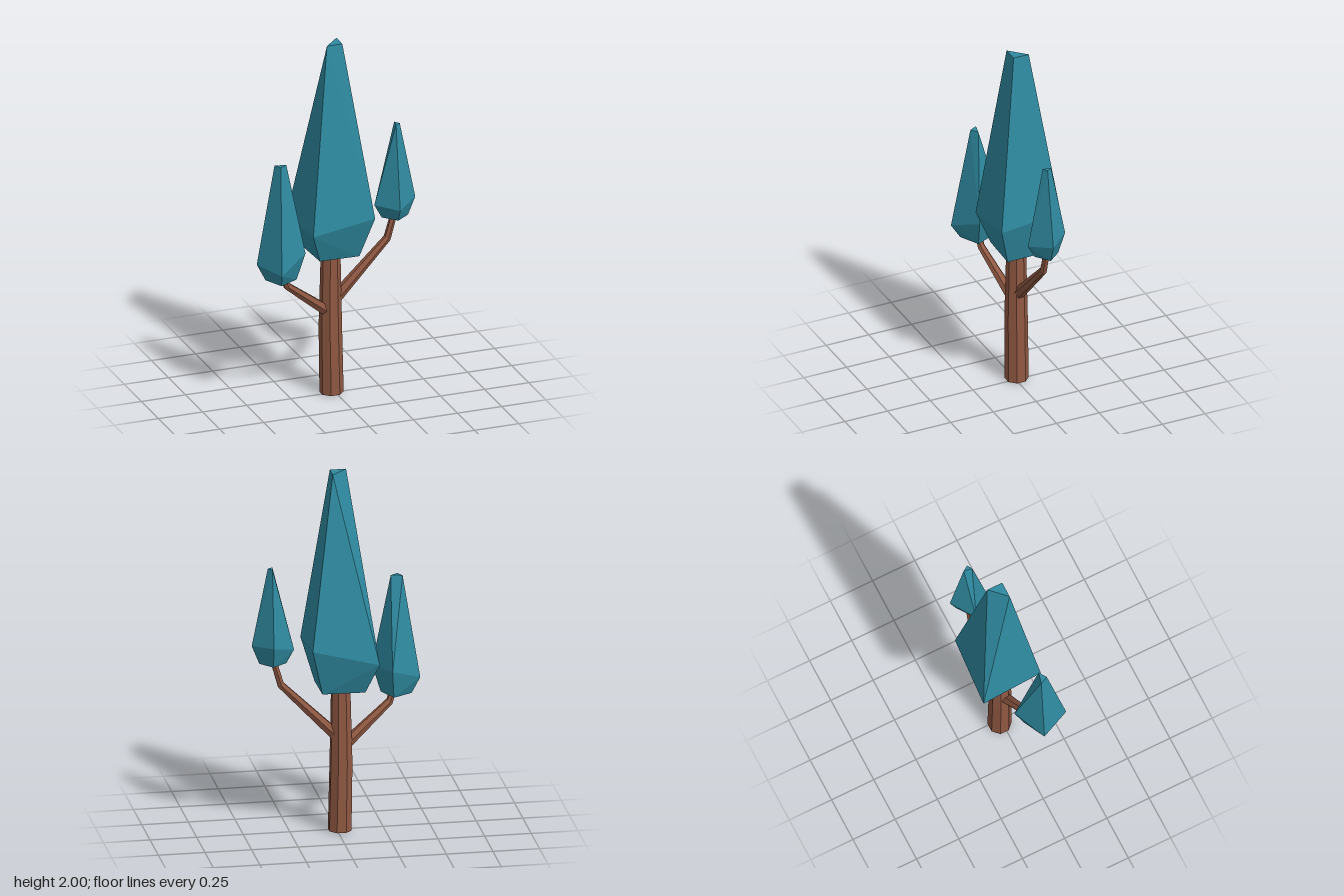
import * as THREE from 'three';
import { ConvexGeometry } from 'three/addons/geometries/ConvexGeometry.js';

// Faceted tapering limb through points [x, y, z, radius]
function limbGeometry(path, sides) {
  const centres = path.map(([x, y, z]) => new THREE.Vector3(x, y, z));
  const rings = path.map((p, i) => {
    const before = centres[Math.max(i - 1, 0)];
    const after = centres[Math.min(i + 1, path.length - 1)];
    const t = after.clone().sub(before).normalize();
    const u = t.clone().cross(new THREE.Vector3(0, 0, 1)).normalize();
    const v = u.clone().cross(t);
    return Array.from({ length: sides }, (_, j) => {
      const a = ((j + 0.5) / sides) * Math.PI * 2;
      return centres[i].clone()
        .addScaledVector(u, Math.cos(a) * p[3])
        .addScaledVector(v, Math.sin(a) * p[3]);
    });
  });
  const points = [];
  const last = rings.length - 1;
  for (let j = 0; j < sides; j++) {
    const k = (j + 1) % sides;
    for (let i = 0; i < last; i++) {
      const [a, b, c, d] = [rings[i][j], rings[i][k], rings[i + 1][j], rings[i + 1][k]];
      points.push(a, c, b, b, c, d);
    }
    // End caps
    points.push(centres[0], rings[0][j], rings[0][k]);
    points.push(centres[last], rings[last][k], rings[last][j]);
  }
  const geometry = new THREE.BufferGeometry().setFromPoints(points);
  geometry.computeVertexNormals();
  return geometry;
}

// Crown: small square base, wide tilted square ring, three-cornered flat top
function crownGeometry({ baseY, ring, topY, top }) {
  const cx = ring.reduce((s, p) => s + p[0], 0) / 4;
  const cz = ring.reduce((s, p) => s + p[2], 0) / 4;
  const points = [];
  for (const [x, y, z] of ring) {
    points.push(new THREE.Vector3(x, y, z));
    points.push(new THREE.Vector3(cx + (x - cx) * 0.64, baseY, cz + (z - cz) * 0.64));
  }
  for (const [x, z] of top) points.push(new THREE.Vector3(x, topY, z));
  return new ConvexGeometry(points);
}

export function createModel() {
  const bark = new THREE.MeshStandardMaterial({ color: 0x8f5842 });
  bark.name = 'bark brown';
  const leaves = new THREE.MeshStandardMaterial({ color: 0x2f8aa0 });
  leaves.name = 'leaf teal';

  const tree = new THREE.Group();
  tree.name = 'tree';
  const add = (name, geometry, material) => {
    const mesh = new THREE.Mesh(geometry, material);
    mesh.name = name;
    tree.add(mesh);
  };

  // Trunk and the two bent branches
  add('trunk', limbGeometry([
    [-0.015, 0, -0.013, 0.064], [-0.022, 0.38, -0.013, 0.062], [-0.02, 0.9, -0.013, 0.05],
  ], 8), bark);
  add('leftBranch', limbGeometry([
    [-0.01, 0.515, -0.015, 0.034], [0.302, 0.83, -0.019, 0.021], [0.345, 0.98, -0.019, 0.018],
  ], 6), bark);
  add('rightBranch', limbGeometry([
    [-0.03, 0.46, -0.01, 0.033], [-0.295, 0.675, 0.06, 0.021], [-0.325, 0.76, 0.068, 0.017],
  ], 6), bark);

  // Leaf crowns
  add('mainCrown', crownGeometry({
    baseY: 0.8, topY: 2,
    ring: [[-0.197, 0.97, -0.2], [0.16, 1.06, -0.188], [0.165, 1.03, 0.16], [-0.18, 0.97, 0.148]],
    top: [[0.031, -0.062], [0.031, 0.026], [-0.056, 0.026]],
  }), leaves);
  add('leftCrown', crownGeometry({
    baseY: 0.95, topY: 1.48,
    ring: [[0.232, 1.025, -0.025], [0.356, 1.065, -0.119], [0.455, 1.05, -0.003], [0.335, 1.02, 0.088]],
    top: [[0.35, -0.04], [0.37, -0.01], [0.343, 0.006]],
  }), leaves);
  add('rightCrown', crownGeometry({
    baseY: 0.72, topY: 1.375,
    ring: [[-0.29, 0.88, -0.065], [-0.21, 0.87, 0.11], [-0.377, 0.795, 0.198], [-0.455, 0.81, 0.03]],
    top: [[-0.304, 0.072], [-0.345, 0.099], [-0.365, 0.057]],
  }), leaves);

  return tree;
}
